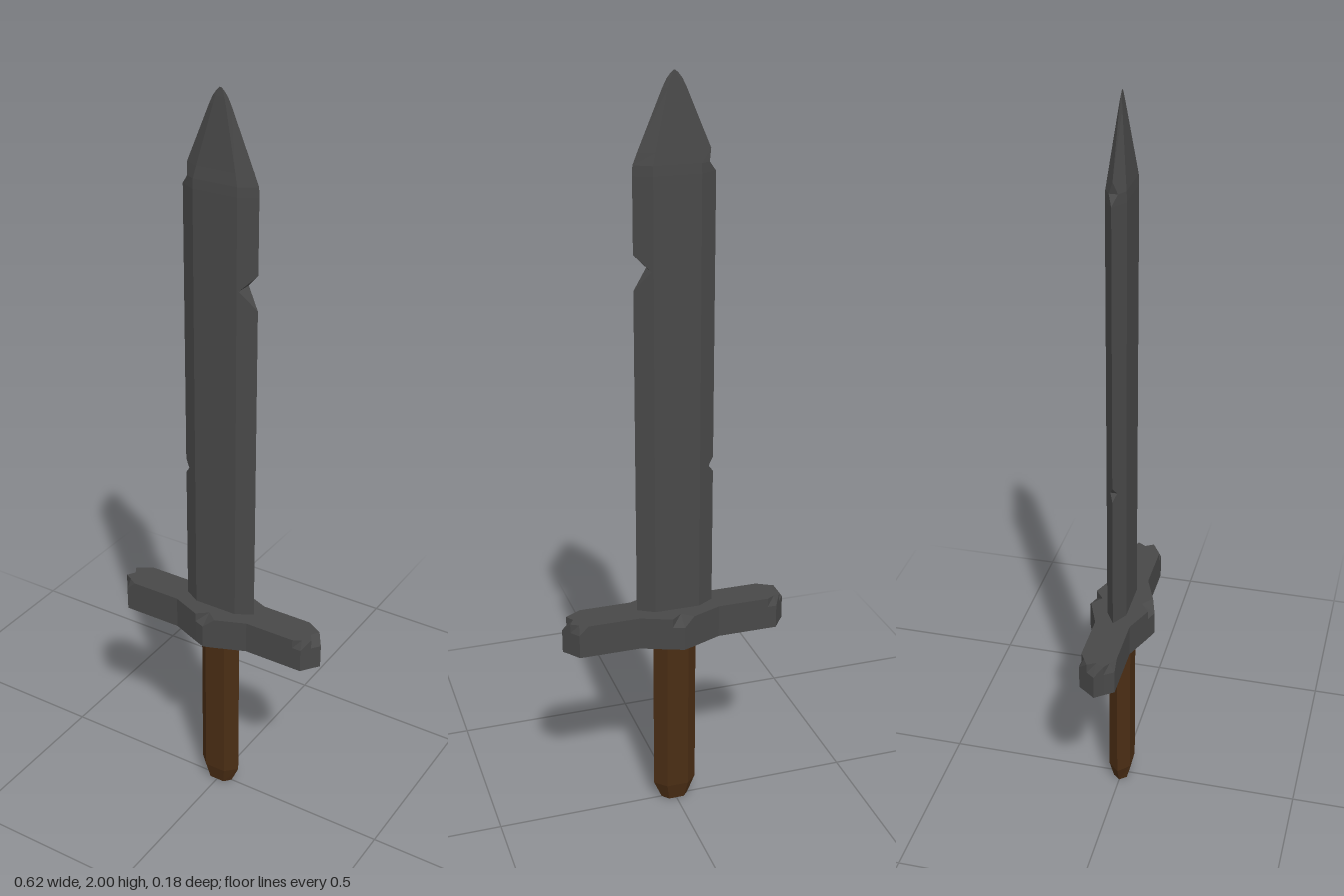
import * as THREE from 'three';

const steel = new THREE.MeshStandardMaterial({ color: 0x484848, flatShading: true });
const wood = new THREE.MeshStandardMaterial({ color: 0x4a2d14, flatShading: true });

// Skins a stack of rings (each { y, pts: [[x, z], ...] }, running +x to +z) and caps both ends.
function loft(name, rings, material) {
  const pos = [];
  const at = (ring, i) => {
    const [x, z] = ring.pts[i % ring.pts.length];
    return [x, ring.y, z];
  };
  const n = rings[0].pts.length;
  for (let r = 0; r < rings.length - 1; r++) {
    const lo = rings[r], up = rings[r + 1];
    for (let i = 0; i < n; i++) {
      pos.push(...at(lo, i), ...at(up, i), ...at(lo, i + 1));
      pos.push(...at(up, i), ...at(up, i + 1), ...at(lo, i + 1));
    }
  }
  const first = rings[0], last = rings[rings.length - 1];
  for (let i = 0; i < n; i++) {
    pos.push(0, first.y, 0, ...at(first, i), ...at(first, i + 1));
    pos.push(0, last.y, 0, ...at(last, i + 1), ...at(last, i));
  }
  const geometry = new THREE.BufferGeometry();
  geometry.setAttribute('position', new THREE.Float32BufferAttribute(pos, 3));
  geometry.computeVertexNormals();
  const mesh = new THREE.Mesh(geometry, material);
  mesh.name = name;
  return mesh;
}

// Blade section: flat faces with bevelled edges; a nick cuts an edge back into the bevel.
function bladeRing([y, w, t, nickL = 0, nickR = 0]) {
  const flat = w * 0.58;
  const edge = (nick) => Math.min(t, (t * nick) / (w - flat));
  const eL = edge(nickL), eR = edge(nickR);
  const xL = -(w - nickL), xR = w - nickR;
  const fL = Math.max(-flat, xL), fR = Math.min(flat, xR);
  return { y, pts: [[xR, eR], [fR, t], [fL, t], [xL, eL], [xL, -eL], [fL, -t], [fR, -t], [xR, -eR]] };
}

// Mirrors a quarter outline (+x to +z) into a full ring.
function mirrored(y, q) {
  const back = [...q].reverse();
  return {
    y,
    pts: [
      ...q,
      ...back.slice(1).map(([x, z]) => [-x, z]),
      ...q.slice(1).map(([x, z]) => [-x, -z]),
      ...back.slice(1, -1).map(([x, z]) => [x, -z]),
    ],
  };
}

export function createModel() {
  const model = new THREE.Group();
  model.name = 'sword';

  // Blade rows: y, half width, half thickness, left-hand nick (-x), right-hand nick (+x)
  const blade = [
    [0.58, 0.105, 0.026],
    [0.98, 0.105, 0.026],
    [1.0, 0.105, 0.026, 0.015],
    [1.02, 0.105, 0.026],
    [1.48, 0.105, 0.026],
    [1.53, 0.105, 0.026, 0, 0.04],
    [1.57, 0.105, 0.026],
    [1.76, 0.105, 0.026],
    [1.785, 0.104, 0.025, 0.019],
    [1.815, 0.092, 0.0215],
    [1.96, 0.03, 0.0047],
    [1.98, 0.02, 0.0024],
    [1.993, 0.01, 0.0008],
    [2.0, 0.002, 0.0002],
  ];
  model.add(loft('blade', blade.map(bladeRing), steel));

  // Crossguard, with chipped upper corners at the ends and the middle
  const outline = [[0.31, 0], [0.293, 0.022], [0.275, 0.047], [0.25, 0.047], [0.11, 0.047], [0.03, 0.079], [0, 0.09]];
  const upper = [[0.28, 0], [0.293, 0.022], [0.272, 0.034], [0.25, 0.047], [0.11, 0.047], [0.03, 0.079], [0, 0.055]];
  model.add(loft('crossguard', [mirrored(0.515, outline), mirrored(0.58, outline), mirrored(0.605, upper)], steel));

  // Six-sided wooden grip with a tapered end
  const grip = (y, w, f, t) => mirrored(y, [[w, 0], [f, t], [0, t]]);
  model.add(loft('grip', [grip(0, 0.038, 0.022, 0.019), grip(0.05, 0.06, 0.03, 0.03), grip(0.53, 0.06, 0.03, 0.03)], wood));

  return model;
}
